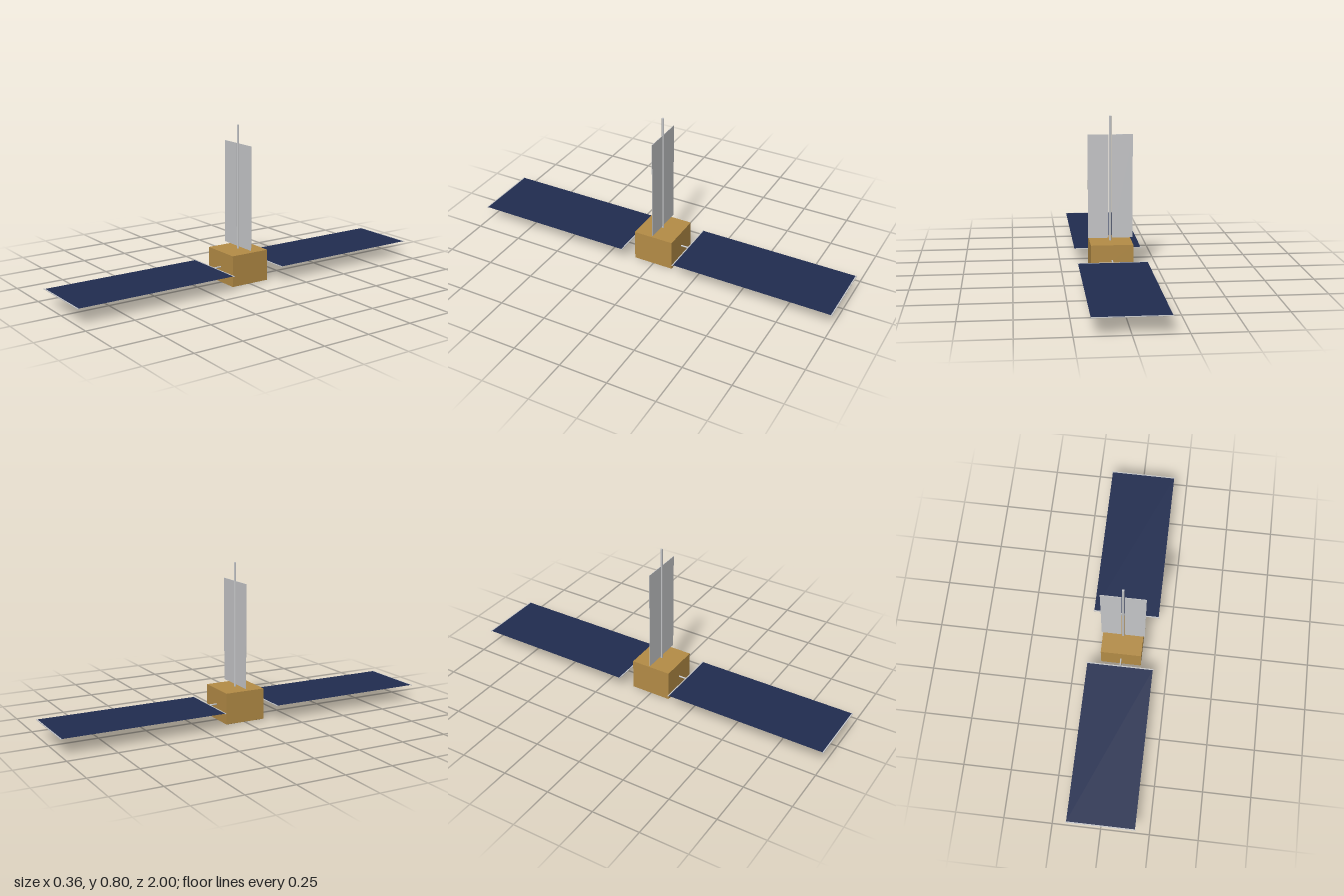
import * as THREE from 'three';

const mat = (name, color, side = THREE.FrontSide) => {
  const m = new THREE.MeshStandardMaterial({ color, side });
  m.name = name;
  return m;
};

export function createModel() {
  const gold = mat('gold foil', 0xb48c46);
  const navy = mat('solar cell blue', 0x202c50);
  const silver = mat('silver grey', 0xc6c7c9);
  const backing = mat('panel backing grey', 0xb0b1b2);
  const dark = mat('dark base', 0x444648);

  const model = new THREE.Group();
  model.name = 'satellite';
  const add = (name, geometry, material, x, y, z, parent = model) => {
    const mesh = new THREE.Mesh(geometry, material);
    mesh.name = name;
    mesh.position.set(x, y, z);
    parent.add(mesh);
    return mesh;
  };

  // Body with a dark plate underneath
  add('body', new THREE.BoxGeometry(0.214, 0.16, 0.214), gold, 0, 0.082, 0);
  add('basePlate', new THREE.BoxGeometry(0.204, 0.004, 0.204), dark, 0, 0.002, 0);

  // Mast
  add('mast', new THREE.CylinderGeometry(0.006, 0.006, 0.64, 12), silver, 0, 0.482, 0);

  // Radiator sheets either side of the mast
  for (const s of [-1, 1]) {
    add(s > 0 ? 'leftRadiator' : 'rightRadiator',
      new THREE.BoxGeometry(0.105, 0.533, 0.003), silver, s * 0.0615, 0.4415, 0);
  }

  // Solar wings: boom, end bars, blue cells above, grey backing below
  const wingY = 0.082;
  for (const s of [-1, 1]) {
    const wing = new THREE.Group();
    wing.name = s > 0 ? 'frontWing' : 'backWing';
    model.add(wing);

    const boom = new THREE.CylinderGeometry(0.004, 0.004, 0.045, 10).rotateX(Math.PI / 2);
    add('boom', boom, silver, 0, wingY, s * 0.1255, wing);

    for (const z of [0.148, 0.997]) {
      add('endBar', new THREE.BoxGeometry(0.358, 0.003, 0.006), silver, 0, wingY, s * z, wing);
    }

    const sheet = () => new THREE.PlaneGeometry(0.35, 0.845);
    add('solarCells', sheet().rotateX(-Math.PI / 2), navy, 0, wingY + 0.0005, s * 0.5725, wing);
    add('cellBacking', sheet().rotateX(Math.PI / 2), backing, 0, wingY - 0.0005, s * 0.5725, wing);
  }

  return model;
}
